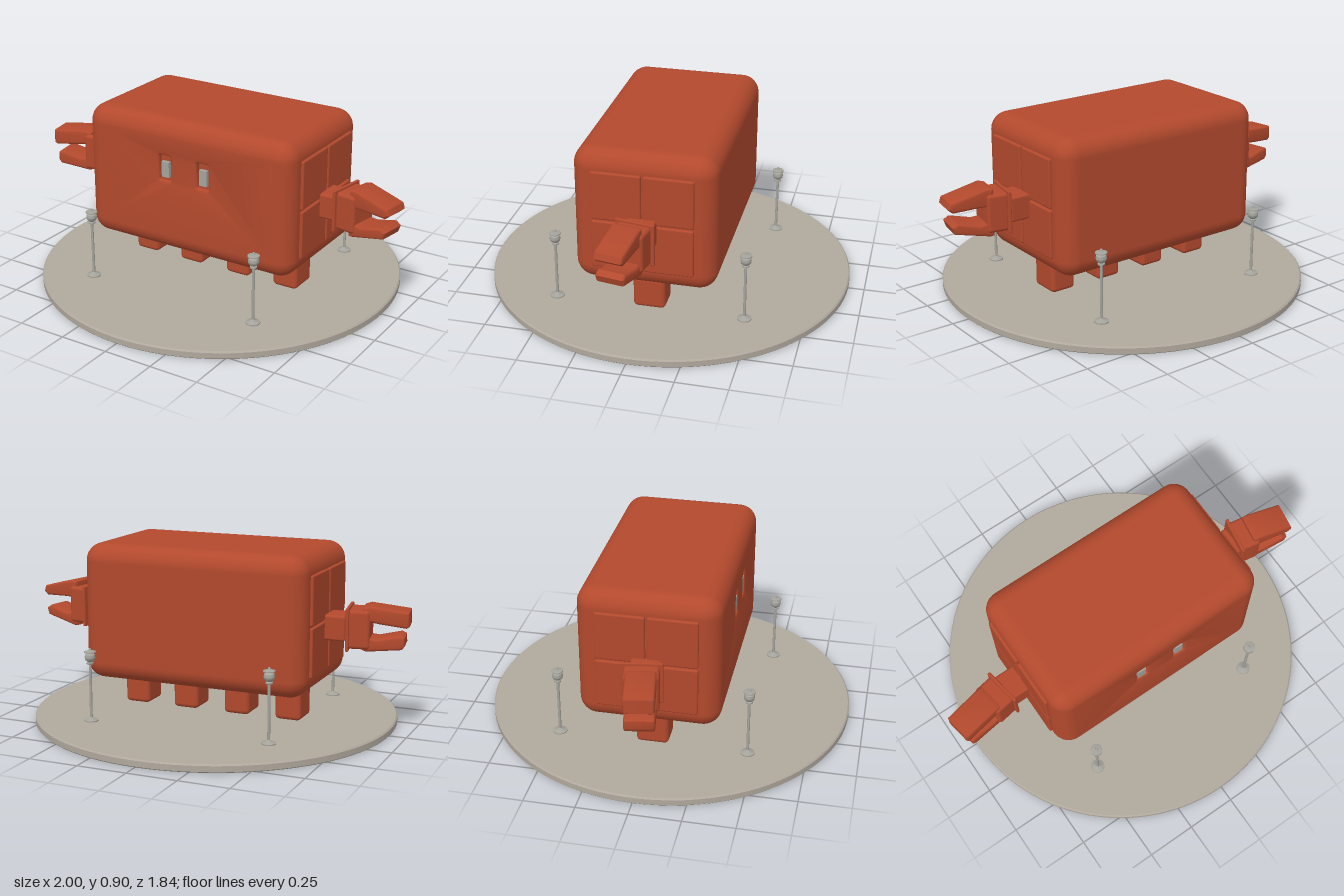
import * as THREE from 'three';
import { RoundedBoxGeometry } from 'three/addons/geometries/RoundedBoxGeometry.js';
import { toCreasedNormals } from 'three/addons/utils/BufferGeometryUtils.js';

const red = new THREE.MeshStandardMaterial({ color: 0xb2492d });
red.name = 'brick red';
const stone = new THREE.MeshStandardMaterial({ color: 0xb0a89d });
stone.name = 'warm stone';
const metal = new THREE.MeshStandardMaterial({ color: 0xa3a29b });
metal.name = 'grey metal';

function add(parent, name, geometry, material, x = 0, y = 0, z = 0) {
  const mesh = new THREE.Mesh(geometry, material);
  mesh.name = name;
  mesh.position.set(x, y, z);
  parent.add(mesh);
  return mesh;
}

const points = (list) => list.map(([x, y]) => new THREE.Vector2(x, y));
const lathe = (list, sides) => toCreasedNormals(new THREE.LatheGeometry(points(list), sides), 0.6);

// Rounded rectangle path centred on (cx, cy)
function roundRect(path, cx, cy, w, h, r) {
  const l = cx - w / 2, b = cy - h / 2;
  path.moveTo(l + r, b);
  path.lineTo(l + w - r, b);
  path.absarc(l + w - r, b + r, r, -Math.PI / 2, 0);
  path.lineTo(l + w, b + h - r);
  path.absarc(l + w - r, b + h - r, r, 0, Math.PI / 2);
  path.lineTo(l + r, b + h);
  path.absarc(l + r, b + h - r, r, Math.PI / 2, Math.PI);
  path.lineTo(l, b + r);
  path.absarc(l + r, b + r, r, Math.PI, Math.PI * 1.5);
  return path;
}

// Rounded block whose flat front is left open for the face plate
function openFrontBlock(w, h, d, r) {
  let geometry = new RoundedBoxGeometry(w, h, d, 6, r);
  if (geometry.index) geometry = geometry.toNonIndexed();
  const pos = geometry.attributes.position, nor = geometry.attributes.normal;
  const keptPos = [], keptNor = [];
  for (let i = 0; i < pos.count; i += 3) {
    if ([0, 1, 2].every((k) => pos.getZ(i + k) > d / 2 - 1e-4)) continue;
    for (let k = 0; k < 3; k++) {
      keptPos.push(pos.getX(i + k), pos.getY(i + k), pos.getZ(i + k));
      keptNor.push(nor.getX(i + k), nor.getY(i + k), nor.getZ(i + k));
    }
  }
  const out = new THREE.BufferGeometry();
  out.setAttribute('position', new THREE.Float32BufferAttribute(keptPos, 3));
  out.setAttribute('normal', new THREE.Float32BufferAttribute(keptNor, 3));
  return out;
}

function buildBody(model) {
  const w = 1.17, h = 0.685, d = 0.69, r = 0.09, cy = 0.5575, front = d / 2;
  const body = new THREE.Group();
  body.name = 'body';
  model.add(body);
  add(body, 'bodyShell', openFrontBlock(w, h, d, r), red, 0, cy, 0);

  // Face plate with two softly edged eye sockets
  const face = new THREE.Shape(points([
    [-w / 2 + r, -h / 2 + r], [w / 2 - r, -h / 2 + r], [w / 2 - r, h / 2 - r], [-w / 2 + r, h / 2 - r]]));
  for (const x of [-0.108, 0.108]) face.holes.push(roundRect(new THREE.Path(), x, 0.1, 0.09, 0.155, 0.022));
  const plate = new THREE.ExtrudeGeometry(face, {
    depth: 0.012, bevelThickness: 0.012, bevelSize: 0.012, bevelSegments: 3, curveSegments: 5 });
  add(body, 'facePlate', toCreasedNormals(plate, 0.6), red, 0, cy, front - 0.024);
  for (const x of [-0.108, 0.108]) {
    add(body, 'eyeSocket', new THREE.BoxGeometry(0.1, 0.165, 0.01), red, x, cy + 0.1, front - 0.027);
    add(body, 'eye', new THREE.BoxGeometry(0.042, 0.08, 0.018), metal, x, 0.65, front - 0.013);
  }

  // Four raised panels on each end
  for (const side of [-1, 1])
    for (const z of [-0.125, 0.125])
      for (const y of [0.431, 0.683]) {
        add(body, 'endPanel', new RoundedBoxGeometry(0.03, 0.243, 0.24, 2, 0.008), red, side * 0.584, y, z);
      }
}

function buildLegs(model) {
  for (const x of [-0.415, -0.14, 0.14, 0.415]) {
    const leg = new THREE.Group();
    leg.name = 'leg';
    add(leg, 'legBlock', new RoundedBoxGeometry(0.135, 0.165, 0.16, 3, 0.022), red, 0, 0.123, 0);
    add(leg, 'hipPlate', new RoundedBoxGeometry(0.165, 0.025, 0.19, 2, 0.006), red, 0, 0.211, 0);
    leg.position.x = x;
    model.add(leg);
  }
}

// One claw finger from its side outline
function fingerGeometry(outline) {
  const b = 0.012, depth = 0.142;
  const geometry = new THREE.ExtrudeGeometry(new THREE.Shape(points(outline)), {
    depth: depth - 2 * b, bevelThickness: b, bevelSize: b, bevelOffset: -b, bevelSegments: 3 });
  geometry.translate(0, 0, -depth / 2 + b);
  return toCreasedNormals(geometry, 0.7);
}

const fingers = {
  left: [
    [[0.07, 0.035], [0.15, 0.035], [0.27, 0.03], [0.293, 0.05], [0.283, 0.08], [0.1, 0.127], [0.07, 0.12]],
    [[0.07, -0.113], [0.09, -0.115], [0.265, -0.075], [0.277, -0.04], [0.25, -0.022], [0.14, -0.05], [0.07, -0.045]],
  ],
  right: [
    [[0.07, 0.045], [0.15, 0.03], [0.28, 0.015], [0.294, 0.025], [0.292, 0.093], [0.1, 0.115], [0.07, 0.105]],
    [[0.07, -0.1], [0.09, -0.107], [0.26, -0.09], [0.274, -0.07], [0.272, -0.03], [0.25, -0.02], [0.14, -0.045], [0.07, -0.035]],
  ],
};

function buildArm(model, name, side) {
  const arm = new THREE.Group();
  arm.name = name + 'Arm';
  model.add(arm);
  add(arm, 'armRoot', new RoundedBoxGeometry(0.12, 0.125, 0.145, 3, 0.012), red, side * 0.64, 0.525, 0.003);

  // Hand turns slightly towards the front
  const hand = new THREE.Group();
  hand.name = name + 'Hand';
  hand.position.set(side * 0.7, 0.525, 0.005);
  hand.rotation.y = side > 0 ? -0.17 : Math.PI + 0.17;
  arm.add(hand);
  add(hand, 'cuff', new RoundedBoxGeometry(0.016, 0.21, 0.195, 2, 0.005), red);
  add(hand, 'palm', new RoundedBoxGeometry(0.11, 0.19, 0.165, 3, 0.018), red, 0.052, 0, 0);
  add(hand, 'upperFinger', fingerGeometry(fingers[name][0]), red);
  add(hand, 'lowerFinger', fingerGeometry(fingers[name][1]), red);
}

function buildLamps(model) {
  const profile = [[0, 0.04], [0.035, 0.04], [0.035, 0.046], [0.012, 0.054], [0.007, 0.06], [0.007, 0.325],
    [0.017, 0.33], [0.017, 0.337], [0.012, 0.34], [0.023, 0.35], [0.027, 0.362], [0.024, 0.376], [0.014, 0.384],
    [0.029, 0.387], [0.029, 0.392], [0.008, 0.398], [0.005, 0.407], [0, 0.408]];
  const geometry = lathe(profile, 20);
  for (const x of [-0.47, 0.47])
    for (const z of [-0.47, 0.47]) add(model, 'lampPost', geometry, metal, x, 0, z);
}

export function createModel() {
  const model = new THREE.Group();
  model.name = 'clawedBlockOnBase';
  // Round base
  add(model, 'base', lathe([[0, 0], [0.915, 0], [0.92, 0.005], [0.92, 0.033], [0.913, 0.04], [0, 0.04]], 96), stone);
  buildBody(model);
  buildLegs(model);
  buildArm(model, 'left', 1);
  buildArm(model, 'right', -1);
  buildLamps(model);
  return model;
}
